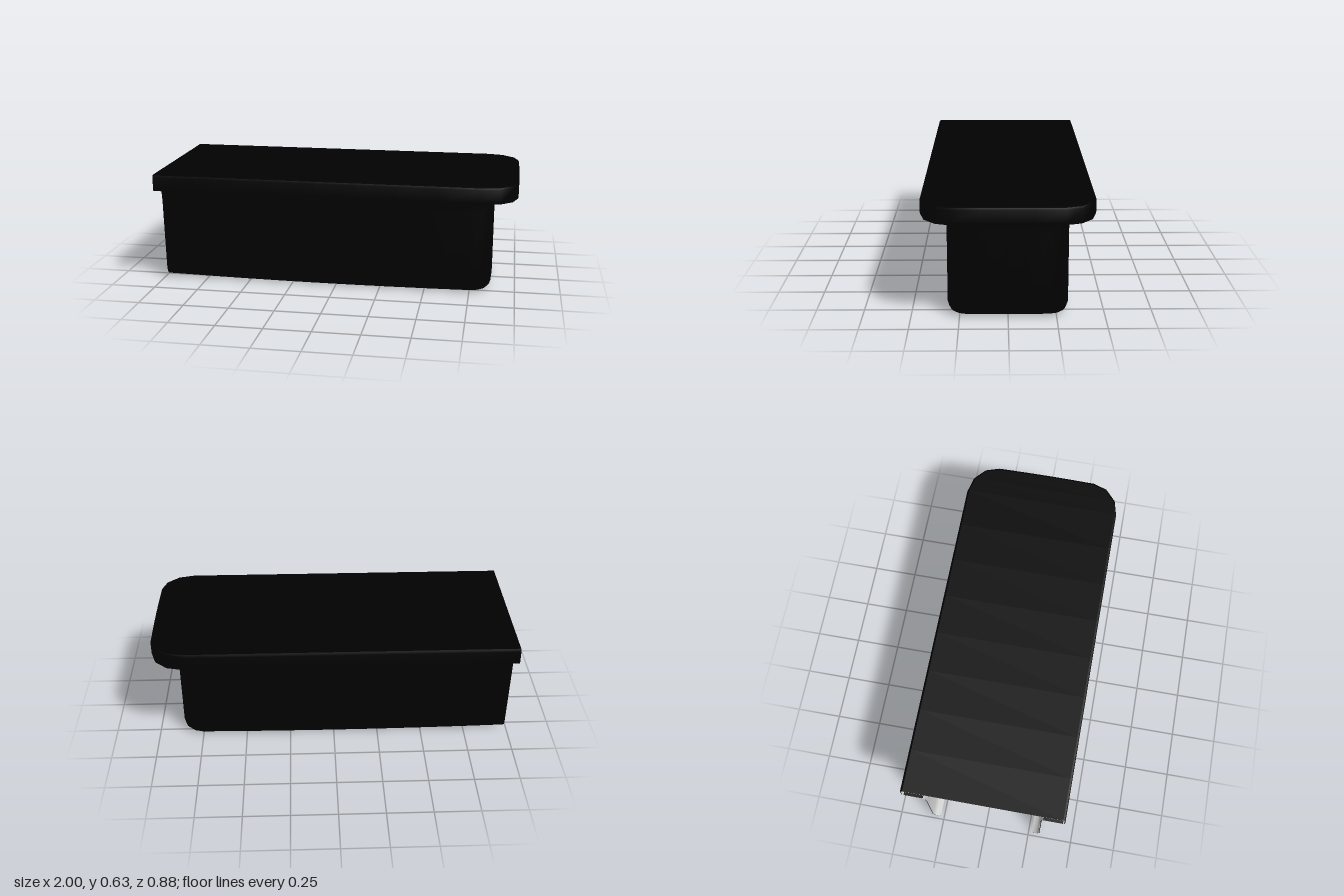
import * as THREE from 'three';
import { toCreasedNormals } from 'three/addons/utils/BufferGeometryUtils.js';

const BLACK = 0x010101, GREY = 0xcccccc;
const THICKNESS = 0.003;

// U-shaped outline, open at -x: along +z side, round the +x end, back along -z side.
function outline({ hw, end, r, y, start = -1, sag = 0 }) {
  const half = [];
  const point = (x, z) => half.push(new THREE.Vector3(x, y + sag * x * x, z));
  const sideSteps = 8, arcSteps = 3, bulge = 0.008;
  const rx = r * 1.15;
  for (let i = 0; i < sideSteps; i++) {
    point(start + (end - rx - start) * i / sideSteps, hw);
  }
  for (let i = 0; i <= arcSteps; i++) {
    const a = (i / arcSteps) * Math.PI / 2;
    const z = hw - r + r * Math.cos(a);
    point(end - rx + rx * Math.sin(a) - bulge * Math.sin(a) * (z / hw) ** 2, z);
  }
  point(end - bulge * 0.25 * ((hw - r) / hw) ** 2, (hw - r) / 2);
  point(end, 0);
  const mirrored = half.slice(0, -1).reverse().map(p => new THREE.Vector3(p.x, p.y, -p.z));
  return [...half, ...mirrored];
}

// Surface through rows of points, moved inward by an offset
function loft(rows, offset = 0) {
  const n = rows[0].length, index = [];
  for (let j = 0; j < rows.length - 1; j++) {
    for (let k = 0; k < n - 1; k++) {
      const a = j * n + k, b = a + 1, c = a + n, d = c + 1;
      index.push(a, c, b, c, d, b);
    }
  }
  const g = new THREE.BufferGeometry().setFromPoints(rows.flat());
  g.setIndex(index);
  g.computeVertexNormals();
  const p = g.attributes.position, m = g.attributes.normal;
  for (let i = 0; i < p.count; i++) {
    p.setXYZ(i, p.getX(i) - m.getX(i) * offset, p.getY(i) - m.getY(i) * offset, p.getZ(i) - m.getZ(i) * offset);
  }
  return toCreasedNormals(g, 0.7);
}

// A thin wall: an outer skin and an inner lining of another colour
function thinWall(name, rows, outer = BLACK, inner = GREY) {
  const group = new THREE.Group();
  group.name = name;
  [[outer, 0, 'Skin'], [inner, THICKNESS, 'Lining']].forEach(([color, offset, suffix]) => {
    const material = new THREE.MeshStandardMaterial({ color, side: THREE.DoubleSide });
    const mesh = new THREE.Mesh(loft(rows, offset), material);
    mesh.name = name + suffix;
    group.add(mesh);
  });
  return group;
}

export function createModel() {
  const model = new THREE.Group();
  model.name = 'openCover';

  // Rim of the lid, with softened top and bottom edges
  const lidLevel = (inset, y) =>
    outline({ hw: 0.442 - inset, end: 1 - inset, r: 0.16 - inset, y });
  const rimRows = [
    lidLevel(0.012, 0.635), lidLevel(0.003, 0.632), lidLevel(0, 0.622),
    lidLevel(0, 0.553), lidLevel(0.003, 0.545), lidLevel(0.01, 0.542),
  ];
  model.add(thinWall('lidRim', rimRows));

  // Flat top panel between the two halves of the rim
  const top = rimRows[0];
  const half = top.slice(0, (top.length + 1) / 2);
  const otherHalf = half.map(p => new THREE.Vector3(p.x, p.y, -p.z));
  model.add(thinWall('lidTop', [otherHalf, half]));

  // Walls: flared at the top, curled inward at the bottom
  const wallRows = [
    { hw: 0.329, end: 0.884, r: 0.115, y: 0.542 },
    { hw: 0.32, end: 0.875, r: 0.108, y: 0.525 },
    { hw: 0.316, end: 0.871, r: 0.104, y: 0.505, start: -0.998 },
    { hw: 0.313, end: 0.868, r: 0.1, y: 0.45, start: -0.996 },
    { hw: 0.314, end: 0.868, r: 0.1, y: 0.05, start: -0.987, sag: 0.004 },
    { hw: 0.306, end: 0.861, r: 0.093, y: 0.022, start: -0.986, sag: 0.01 },
    { hw: 0.294, end: 0.848, r: 0.082, y: 0.007, start: -0.985, sag: 0.012 },
    { hw: 0.268, end: 0.825, r: 0.06, y: 0, start: -0.985, sag: 0.014 },
  ].map(outline);
  model.add(thinWall('walls', wallRows));

  // Underside ledge joining the rim to the walls
  model.add(thinWall('ledge', [rimRows[rimRows.length - 1], wallRows[0]], GREY, BLACK));

  return model;
}
